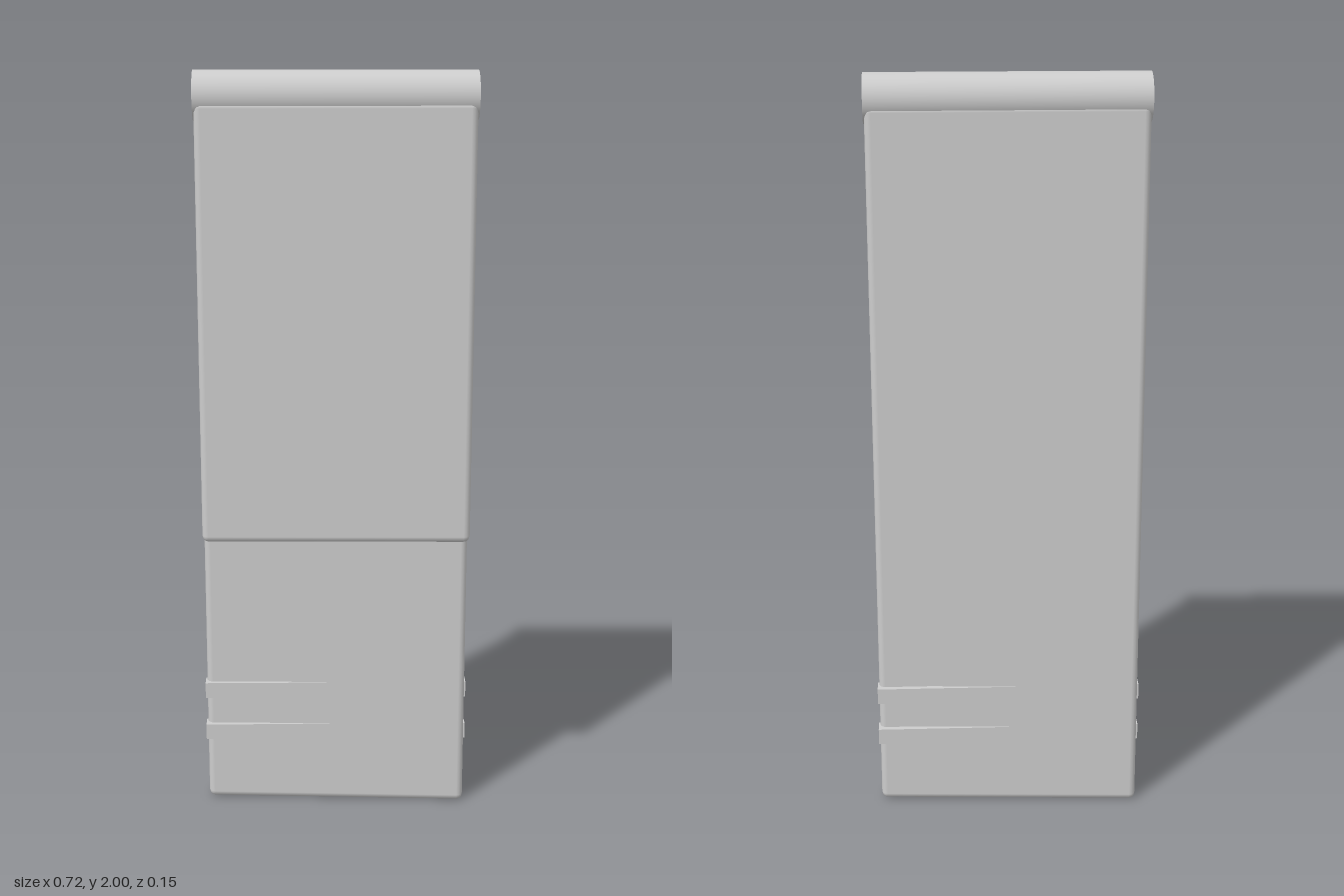
import * as THREE from 'three';
import { RoundedBoxGeometry } from 'three/addons/geometries/RoundedBoxGeometry.js';

const WIDTH = 0.714;

// Hanging cloth panel: a soft-edged slab that drifts and twists towards its lower hem
function clothPanel(name, material, { bottom, top, zTop, zBottom, twist }) {
  const height = top - bottom;
  const geometry = new RoundedBoxGeometry(WIDTH - 0.006, height, 0.045, 2, 0.017);
  geometry.translate(0, bottom + height / 2, 0);
  const p = geometry.attributes.position;
  for (let i = 0; i < p.count; i++) {
    const drop = (top - p.getY(i)) / height;
    const side = p.getX(i) / (WIDTH / 2);
    p.setZ(i, p.getZ(i) + THREE.MathUtils.lerp(zTop, zBottom, drop) + twist * side * drop);
  }
  const mesh = new THREE.Mesh(geometry, material);
  mesh.name = name;
  return mesh;
}

export function createModel() {
  const group = new THREE.Group();
  group.name = 'hangingTowel';
  const grey = new THREE.MeshStandardMaterial({ color: 0xcccccc });
  grey.name = 'lightGrey';

  // Rolled fold over the top
  const roll = new THREE.Mesh(new THREE.CylinderGeometry(0.063, 0.063, WIDTH, 32), grey);
  roll.name = 'topRoll';
  roll.rotation.z = Math.PI / 2;
  roll.position.set(0, 1.937, 0.006);
  group.add(roll);

  // Short front drop and long back drop
  group.add(clothPanel('frontPanel', grey,
    { bottom: 0.78, top: 1.925, zTop: 0.044, zBottom: 0.045, twist: 0.007 }));
  group.add(clothPanel('backPanel', grey,
    { bottom: 0, top: 1.925, zTop: -0.031, zBottom: -0.037, twist: 0.019 }));

  // Two straight bands emerging from the twisted back drop
  for (const y of [0.328, 0.205]) {
    const band = new THREE.Mesh(new THREE.BoxGeometry(WIDTH + 0.002, 0.044, 0.042), grey);
    band.name = 'hemBand';
    band.position.set(0, y, -0.037);
    group.add(band);
  }
  return group;
}
